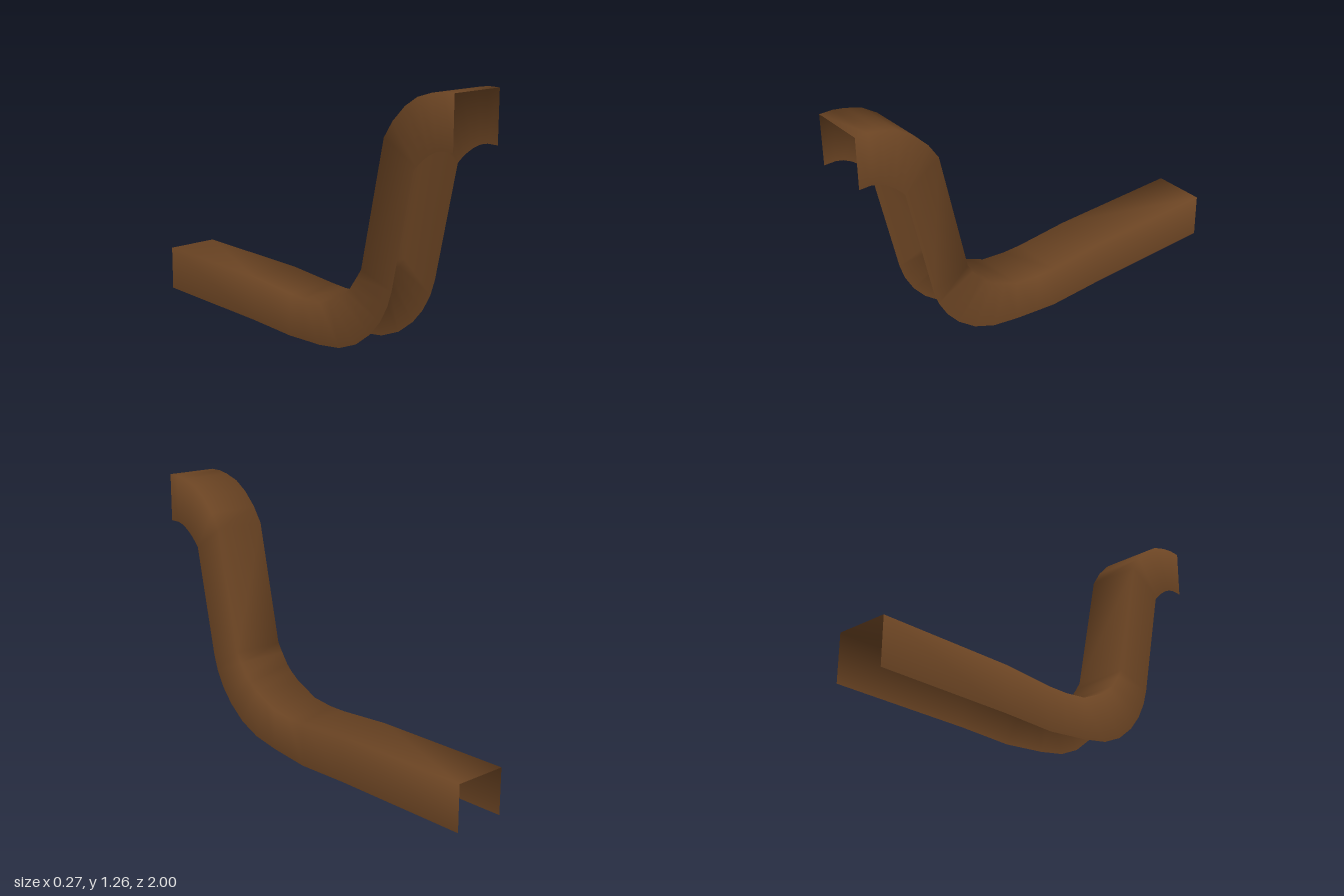
import * as THREE from 'three';

// Cross-sections from the high front end to the low back end:
// [top z, top y, bottom z, bottom y]
const SECTIONS = [
  [1.00, 1.26, 1.00, 1.025],
  [0.94, 1.26, 0.945, 1.025],
  [0.88, 1.25, 0.91, 1.017],
  [0.80, 1.225, 0.87, 0.997],
  [0.73, 1.18, 0.83, 0.967],
  [0.66, 1.11, 0.80, 0.938],
  [0.61, 1.035, 0.785, 0.92],
  [0.48, 0.44, 0.67, 0.385],
  [0.45, 0.395, 0.645, 0.31],
  [0.41, 0.34, 0.60, 0.23],
  [0.38, 0.312, 0.54, 0.16],
  [0.33, 0.277, 0.45, 0.09],
  [0.27, 0.25, 0.34, 0.043],
  [0.20, 0.22, 0.20, 0.02],
  [0.08, 0.21, 0.08, 0.011],
  [-0.02, 0.212, -0.02, 0.003],
  [-0.30, 0.23, -0.30, 0.01],
  [-1.00, 0.23, -1.00, 0.01],
];

export function createModel() {
  const brown = new THREE.MeshStandardMaterial({ color: 0x6b4423, side: THREE.DoubleSide });
  brown.name = 'brown';

  // The channel steps slightly sideways where the bend meets the flat run
  const halfWidth = 0.131;
  const shift = (z) => THREE.MathUtils.mapLinear(THREE.MathUtils.clamp(z, 0, 0.25), 0, 0.25, 0.004, -0.008);

  // Three-sided open channel: left wall, top, right wall
  const positions = [];
  const index = [];
  SECTIONS.forEach(([tz, ty, bz, by], i) => {
    const l = (z) => shift(z) + halfWidth;
    const r = (z) => shift(z) - halfWidth;
    positions.push(l(bz), by, bz, l(tz), ty, tz, r(tz), ty, tz, r(bz), by, bz);
    if (i === 0) return;
    for (let j = 0; j < 3; j++) {
      const a = (i - 1) * 4 + j, c = i * 4 + j;
      index.push(a, c, a + 1, a + 1, c, c + 1);
    }
  });

  const geometry = new THREE.BufferGeometry();
  geometry.setAttribute('position', new THREE.Float32BufferAttribute(positions, 3));
  geometry.setIndex(index);
  geometry.computeVertexNormals();

  const channel = new THREE.Mesh(geometry, brown);
  channel.name = 'curvedChannel';
  const group = new THREE.Group();
  group.name = 'bentChannel';
  group.add(channel);
  return group;
}
